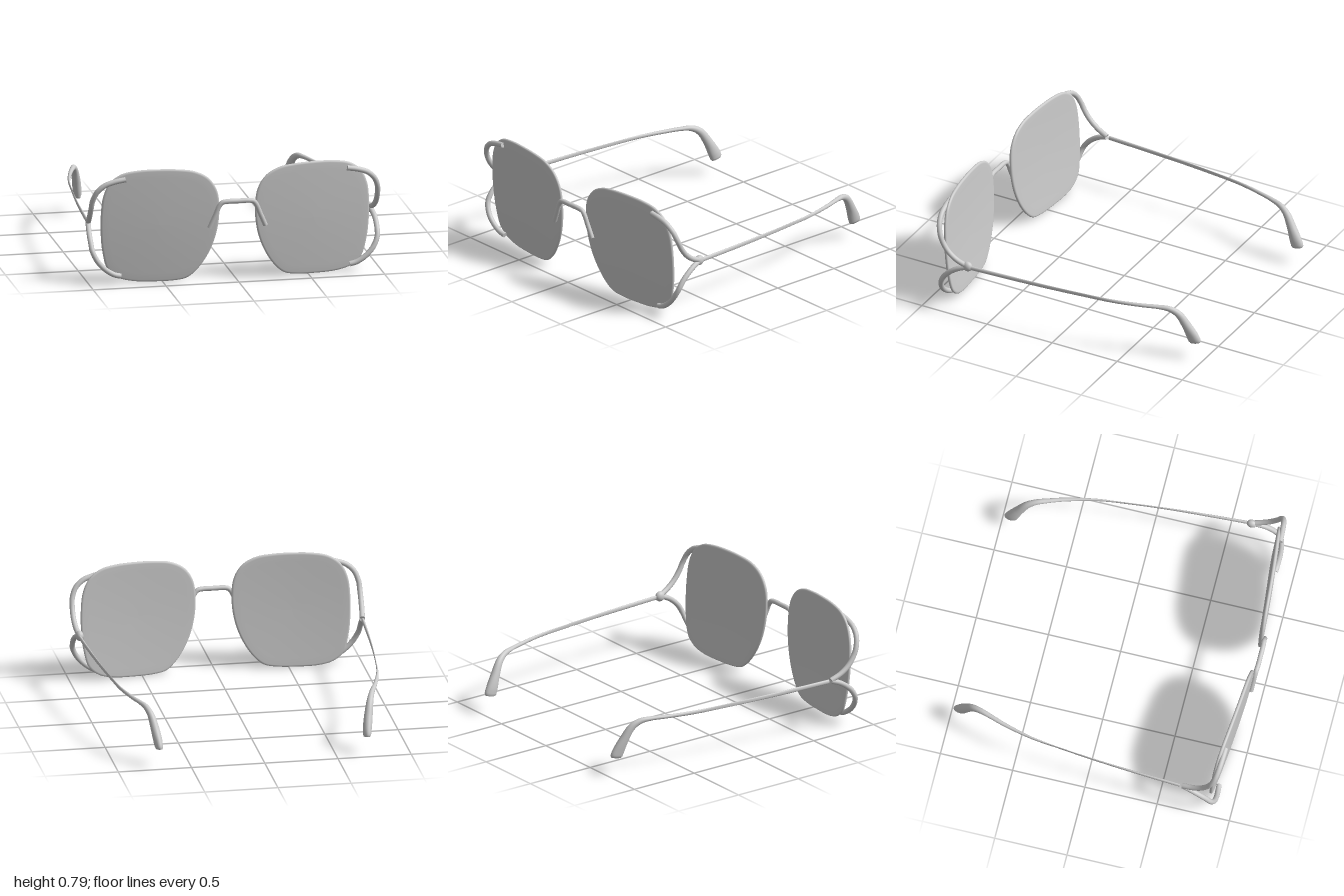
import * as THREE from 'three';
import { mergeGeometries } from 'three/addons/utils/BufferGeometryUtils.js';

const material = new THREE.MeshStandardMaterial({ color: 0xcccccc });
const V = (x, y, z) => new THREE.Vector3(x, y, z);

// Skin a list of closed rings with equal point counts
function skin(rings) {
  const n = rings[0].length, index = [];
  for (let i = 0; i < rings.length - 1; i++) {
    for (let j = 0; j < n; j++) {
      const k = (j + 1) % n;
      const a = i * n + j, b = i * n + k, c = a + n, d = b + n;
      index.push(a, c, d, a, d, b);
    }
  }
  const geo = new THREE.BufferGeometry().setFromPoints(rings.flat());
  geo.setIndex(index);
  geo.computeVertexNormals();
  return geo;
}

// Copy a geometry to the other side of x = 0
function mirrored(source) {
  const geo = source.clone().scale(-1, 1, 1);
  const idx = geo.index;
  for (let i = 0; i < idx.count; i += 3) {
    const t = idx.getX(i + 1);
    idx.setX(i + 1, idx.getX(i + 2));
    idx.setX(i + 2, t);
  }
  return geo;
}

// Round wire with flat ends
function wire(points, radius) {
  const curve = new THREE.CatmullRomCurve3(points.map(p => V(...p)), false, 'centripetal');
  const parts = [new THREE.TubeGeometry(curve, 64, radius, 14)];
  for (const end of [0, 1]) {
    const dir = curve.getTangentAt(end).multiplyScalar(end ? 1 : -1);
    const cap = new THREE.CircleGeometry(radius, 14);
    cap.applyQuaternion(new THREE.Quaternion().setFromUnitVectors(V(0, 0, 1), dir));
    const p = curve.getPointAt(end);
    parts.push(cap.translate(p.x, p.y, p.z));
  }
  return mergeGeometries(parts);
}

// Lens: rounded outline, gently domed, tilted and wrapped backwards
function lensGeometry() {
  const outline = [
    [0.54, 0.8], [0.4, 0.795], [0.29, 0.778], [0.2, 0.73], [0.14, 0.64], [0.122, 0.5], [0.14, 0.34],
    [0.19, 0.2], [0.265, 0.085], [0.335, 0.027], [0.42, 0.01], [0.55, 0.006], [0.7, 0.013],
    [0.8, 0.04], [0.87, 0.1], [0.905, 0.22], [0.92, 0.36], [0.92, 0.5], [0.905, 0.62],
    [0.86, 0.715], [0.78, 0.773], [0.67, 0.795],
  ];
  const edge = new THREE.CatmullRomCurve3(outline.map(([x, y]) => V(x, y, 0)), true, 'centripetal')
    .getPoints(110).slice(0, -1);
  const cx = 0.53, cy = 0.41;
  // [scale of the outline, offset from the middle surface]
  const profile = [
    [0, 0.012], [0.3, 0.012], [0.6, 0.012], [0.85, 0.012], [0.965, 0.012], [0.985, 0.01], [0.996, 0.006],
    [1, 0], [0.996, -0.006], [0.985, -0.01], [0.965, -0.012], [0.85, -0.012], [0.6, -0.012], [0.3, -0.012], [0, -0.012],
  ];
  return skin(profile.map(([s, dz]) => edge.map(p => {
    const dx = (p.x - cx) * s, dy = (p.y - cy) * s;
    const x = cx + dx, y = cy + dy;
    const z = 0.936 - 0.094 * (x - 0.12) + 0.07 * (y - 0.42) + 0.01 - 0.06 * (dx * dx + dy * dy);
    return V(x, y, z + dz);
  })));
}

// Temple: elliptical section that flattens midway and swells into the ear tip
function templeGeometry() {
  // x, y, z, half width, half height
  const stations = [
    [0.967, 0.387, 0.65, 0.01, 0.015], [0.953, 0.386, 0.4, 0.008, 0.015], [0.934, 0.385, 0.12, 0.005, 0.014],
    [0.905, 0.384, -0.18, 0.003, 0.013], [0.877, 0.384, -0.4, 0.008, 0.013], [0.828, 0.384, -0.6, 0.014, 0.013],
    [0.795, 0.384, -0.7, 0.017, 0.014], [0.769, 0.375, -0.775, 0.02, 0.02], [0.748, 0.34, -0.832, 0.024, 0.026],
    [0.727, 0.25, -0.887, 0.03, 0.034], [0.715, 0.18, -0.92, 0.03, 0.044], [0.711, 0.145, -0.935, 0.027, 0.046],
    [0.709, 0.13, -0.938, 0.021, 0.04],
  ];
  const path = new THREE.CatmullRomCurve3(stations.map(s => V(s[0], s[1], s[2])), false, 'centripetal');
  const size = new THREE.CatmullRomCurve3(stations.map(s => V(s[3], s[4], 0)));
  const steps = 84, sides = 18, rings = [];
  const ring = (t, scale) => {
    const c = path.getPoint(t), h = size.getPoint(t), d = path.getTangent(t);
    const v = V(1, 0, 0).cross(d).normalize();
    return Array.from({ length: sides }, (_, j) => {
      const a = j / sides * Math.PI * 2;
      return c.clone().addScaledVector(v, h.y * scale * Math.sin(a))
        .add(V(h.x * scale * Math.cos(a), 0, 0));
    });
  };
  rings.push(ring(0, 0), ring(0, 1)); // repeated rings keep the end edges sharp
  for (let i = 0; i <= steps; i++) rings.push(ring(i / steps, 1));
  rings.push(ring(1, 1), ring(1, 0));
  return skin(rings);
}

export function createModel() {
  const model = new THREE.Group();
  model.name = 'glasses';
  const add = (name, geo) => {
    const mesh = new THREE.Mesh(geo, material);
    mesh.name = name;
    model.add(mesh);
    return mesh;
  };

  const upper = [
    [0.76, 0.738, 0.916], [0.83, 0.725, 0.912], [0.9, 0.7, 0.905], [0.95, 0.655, 0.893], [0.977, 0.59, 0.872],
    [0.982, 0.53, 0.845], [0.982, 0.47, 0.8], [0.977, 0.425, 0.742], [0.967, 0.392, 0.67],
  ];
  const lower = [
    [0.787, 0.058, 0.877], [0.83, 0.07, 0.88], [0.89, 0.108, 0.884], [0.945, 0.168, 0.88], [0.977, 0.235, 0.862],
    [0.982, 0.285, 0.832], [0.982, 0.33, 0.785], [0.977, 0.362, 0.735], [0.967, 0.388, 0.67],
  ];
  const pairs = {
    Lens: lensGeometry(),
    UpperBracket: wire(upper, 0.018),
    LowerBracket: wire(lower, 0.018),
    Temple: templeGeometry(),
  };
  for (const [name, geo] of Object.entries(pairs)) {
    add('left' + name, geo);
    add('right' + name, mirrored(geo));
  }

  // Bridge with legs resting on the lens fronts
  const half = [[0.192, 0.38, 0.951], [0.155, 0.465, 0.958], [0.128, 0.53, 0.963], [0.107, 0.556, 0.966], [0.07, 0.563, 0.969]];
  const other = half.map(([x, y, z]) => [-x, y, z]).reverse();
  add('bridge', wire([...half, [0, 0.563, 0.969], ...other], 0.0165));

  // Hinge ball, on the left side only
  const ball = add('hingeBall', new THREE.SphereGeometry(0.035, 24, 16));
  ball.scale.x = 0.75;
  ball.position.set(0.964, 0.39, 0.67);

  return model;
}
